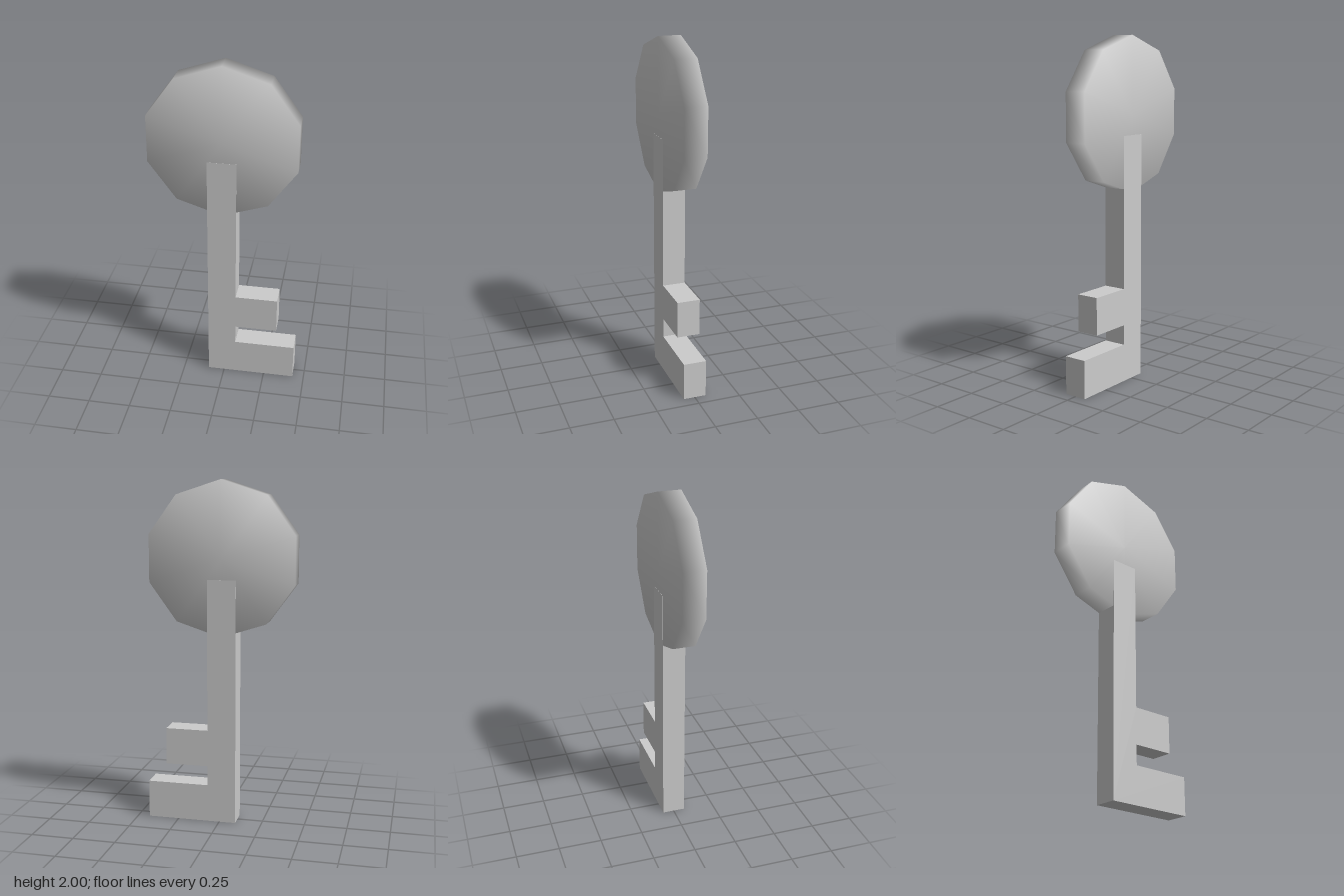
import * as THREE from 'three';
import { mergeVertices } from 'three/addons/utils/BufferGeometryUtils.js';

const THICKNESS = 0.132;

export function createModel() {
  const model = new THREE.Group();
  model.name = 'key';
  const material = new THREE.MeshStandardMaterial({ color: 0xcccccc });

  const add = (name, geometry) => {
    const mesh = new THREE.Mesh(geometry, material);
    mesh.name = name;
    model.add(mesh);
    return mesh;
  };

  // Head: ten-sided disc whose caps and rim share smooth normals
  const disc = new THREE.CylinderGeometry(0.444, 0.444, THICKNESS, 10);
  disc.deleteAttribute('normal');
  disc.deleteAttribute('uv');
  const head = mergeVertices(disc, 1e-4);
  head.rotateX(Math.PI / 2);
  head.computeVertexNormals();
  add('head', head).position.set(-0.011, 1.556, 0);

  // Shaft with two square teeth, running up into the head
  const outline = new THREE.Shape([
    [-0.097, 0], [0.431, 0], [0.431, 0.222], [0.07, 0.222],
    [0.07, 0.339], [0.32, 0.339], [0.32, 0.556], [0.07, 0.556],
    [0.07, 1.44], [-0.097, 1.44],
  ].map(([x, y]) => new THREE.Vector2(x, y)));
  // A hair thicker than the head so its faces sit cleanly on top
  const depth = THICKNESS + 0.002;
  const shaft = new THREE.ExtrudeGeometry(outline, { depth, bevelEnabled: false });
  shaft.translate(0, 0, -depth / 2);
  add('shaftWithTeeth', shaft);

  return model;
}
